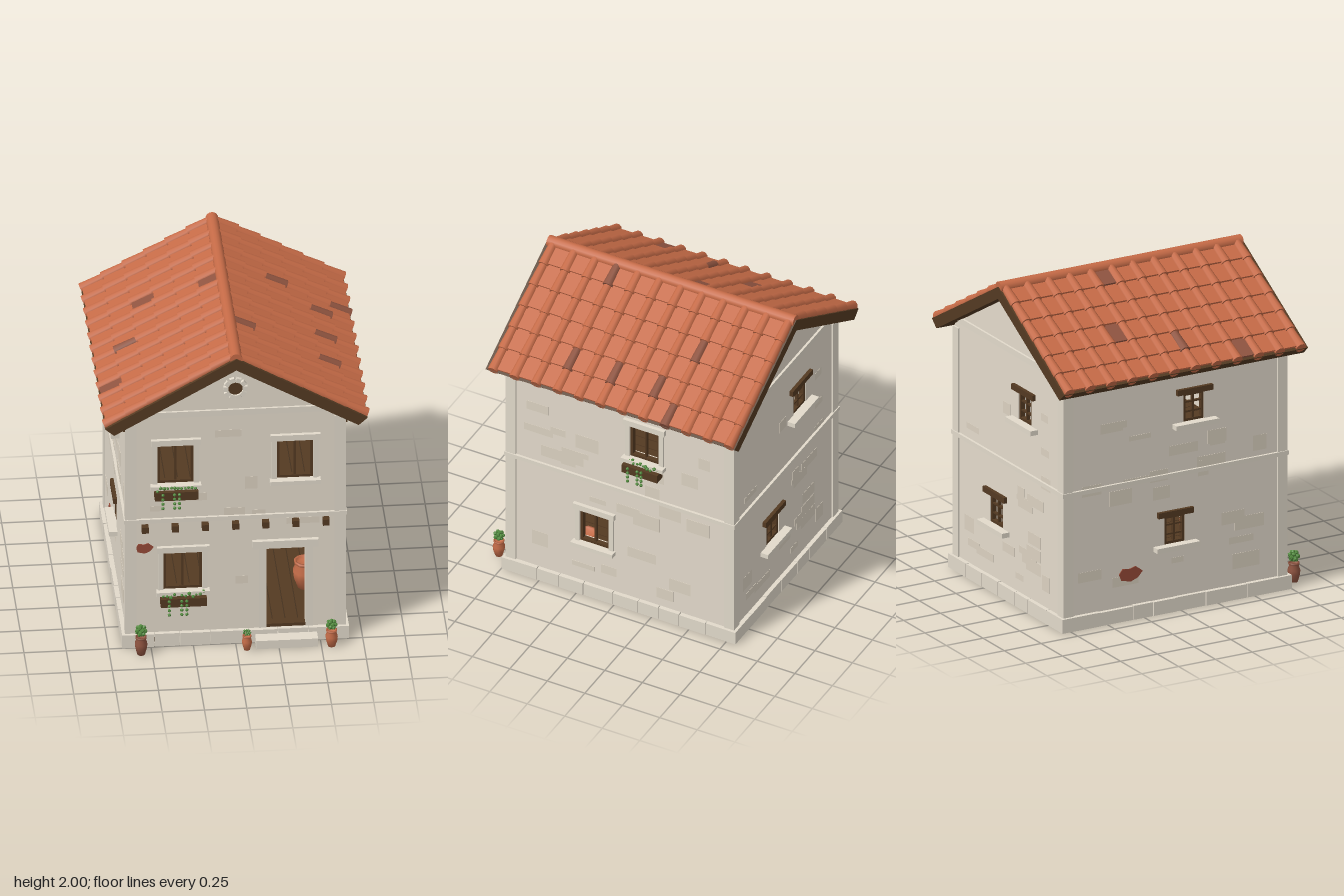
import * as THREE from 'three';

const mat = (name, color) => Object.assign(new THREE.MeshStandardMaterial({ color }), { name });
const M = {
  plaster: mat('plaster', 0xe4dbcc),
  patch: mat('plasterPatch', 0xdcd2c1),
  stone: mat('stone', 0xe2dacb),
  tile: mat('roofTile', 0xc66b47),
  darkTile: mat('weatheredTile', 0x8f5440),
  wood: mat('wood', 0x543a22),
  base: mat('darkBase', 0x40301f),
  leaf: mat('leaf', 0x528a3e),
  clay: mat('clay', 0xc46c48),
  brick: mat('brick', 0x964a37),
};

let seed = 7;
const rnd = () => (seed = (seed * 16807) % 2147483647) / 2147483647;

function add(parent, name, geo, material, x = 0, y = 0, z = 0) {
  const m = new THREE.Mesh(geo, material);
  m.name = name;
  m.position.set(x, y, z);
  parent.add(m);
  return m;
}
const box = (p, name, material, w, h, d, x, y, z) => add(p, name, new THREE.BoxGeometry(w, h, d), material, x, y, z);
// Box given by its x, y and z limits
const span = (p, name, material, x0, x1, y0, y1, z0, z1) =>
  box(p, name, material, x1 - x0, y1 - y0, z1 - z0, (x0 + x1) / 2, (y0 + y1) / 2, (z0 + z1) / 2);
const leafGeo = new THREE.IcosahedronGeometry(1, 0);
function leaf(p, x, y, z, r) {
  const m = add(p, 'leaf', leafGeo, M.leaf, x, y, z);
  m.scale.setScalar(r);
  m.rotation.set(rnd() * 3, rnd() * 3, 0);
}

function pot(p, material, x, y, z, r, h) {
  const pts = [[0, 0], [0.6, 0], [0.95, 0.4], [1, 0.62], [0.75, 0.86], [0.9, 0.92], [0.9, 1], [0.7, 1], [0.65, 0.88], [0, 0.88]]
    .map(([a, b]) => new THREE.Vector2(a * r, b * h));
  add(p, 'pot', new THREE.LatheGeometry(pts, 10), material, x, y, z);
}

// Pot with a rounded bush of leaves
function pottedPlant(p, material, x, r, h, top) {
  const g = new THREE.Group();
  g.name = 'pottedPlant';
  pot(g, material, 0, 0, 0, r, h);
  const half = (top - h) / 2, lr = half * 0.36;
  for (let i = 0; i < 16; i++) {
    const a = i * 2.4, t = (i / 15) * 2 - 1, ring = Math.sqrt(1.05 - t * t) * r * 0.65;
    leaf(g, Math.cos(a) * ring, h + half + t * (half - lr), Math.sin(a) * ring, lr);
  }
  g.position.set(x, 0, 0.825);
  p.add(g);
}

function planter(p, x0, x1, y0, y1) {
  span(p, 'planterBox', M.wood, x0, x1, y0, y1, 0.005, 0.072);
  const w = x1 - x0;
  for (let i = 0; i < 12; i++) leaf(p, x0 + w * (0.06 + 0.08 * i), y1 + 0.005 + rnd() * 0.02, 0.03 + rnd() * 0.035, 0.009 + rnd() * 0.004);
  // trailing vines
  for (const t of [0.18, 0.45, 0.56]) for (let j = 0; j < 4; j++) leaf(p, x0 + w * t, y1 - 0.012 - j * 0.03, 0.078, 0.011);
}

// Wooden frame, bars and stone or timber trim around one opening
function trim(p, o) {
  const { x0, x1, y0, y1, kind } = o, cx = (x0 + x1) / 2, f = 0.016;
  if (kind === 'door') {
    span(p, 'doorLintel', M.stone, x0 - 0.085, x1 + 0.077, y1, y1 + 0.05, -0.02, 0.026);
    for (const [a, b] of [[x0 - 0.045, x0], [x1, x1 + 0.045]]) span(p, 'doorJamb', M.stone, a, b, 0.085, y1, -0.02, 0.006);
    span(p, 'doorSill', M.wood, x0, x1, 0.088, 0.108, -0.055, 0.004);
    return;
  }
  const rustic = kind === 'rustic';
  for (const x of [x0 + f / 2, x1 - f / 2]) box(p, 'windowFrame', M.wood, f, y1 - y0, 0.03, x, (y0 + y1) / 2, -0.02);
  for (const y of [y0 + f / 2, y1 - f / 2]) box(p, 'windowFrame', M.wood, x1 - x0, f, 0.03, cx, y, -0.02);
  box(p, 'mullion', M.wood, 0.013, y1 - y0, 0.02, cx, (y0 + y1) / 2, -0.02);
  if (rustic) {
    for (const t of [1 / 3, 2 / 3]) box(p, 'windowBar', M.wood, x1 - x0, 0.01, 0.018, cx, y0 + (y1 - y0) * t, -0.02);
    span(p, 'timberLintel', M.wood, x0 - 0.05, x1 + 0.05, y1, y1 + 0.035, -0.03, 0.022);
    span(p, 'windowSill', M.stone, x0 - 0.075, x1 + 0.075, y0 - 0.03, y0, -0.03, 0.05);
  } else {
    span(p, 'windowLintel', M.stone, x0 - 0.038, x1 + 0.042, y1, y1 + 0.038, -0.02, 0.024);
    span(p, 'windowSill', M.stone, x0 - 0.042, x1 + 0.042, y0 - 0.026, y0, -0.03, 0.044);
    for (const [a, b] of [[x0 - 0.03, x0], [x1, x1 + 0.03]]) span(p, 'windowJamb', M.stone, a, b, y0, y1, -0.02, 0.01);
  }
  if (o.box) planter(p, x0 - 0.02, x1 + 0.022, o.box, o.box + 0.055);
}

// Exposed brick where plaster has fallen
function brickPatch(p, x, y, w, h) {
  const s = new THREE.Shape([[-1, 0.2], [-0.7, 0.9], [-0.1, 0.75], [0.4, 1], [1, 0.2], [0.6, -0.6], [0, -1], [-0.8, -0.7]]
    .map(([a, b]) => new THREE.Vector2(a * w, b * h)));
  add(p, 'exposedBrick', new THREE.ExtrudeGeometry(s, { depth: 0.006, bevelEnabled: false }), M.brick, x, y, 0);
}

// One wall facing local +z with openings, plinth, belt course and plaster patches
function wall(root, name, rotation, x, z, half, gable, openings) {
  const g = new THREE.Group();
  g.name = name;
  g.rotation.y = rotation;
  g.position.set(x, 0, z);
  root.add(g);
  const body = gable ? half - 0.012 : half - 0.06;
  const s = new THREE.Shape();
  s.moveTo(-body, 0.05).lineTo(body, 0.05).lineTo(body, 1.53);
  if (gable) s.lineTo(0, 1.91);
  s.lineTo(-body, 1.53).closePath();
  for (const { x0, x1, y0, y1 } of openings) {
    const h = new THREE.Path();
    h.moveTo(x0, y0).lineTo(x0, y1).lineTo(x1, y1).lineTo(x1, y0).closePath();
    s.holes.push(h);
  }
  add(g, name + 'Plaster', new THREE.ExtrudeGeometry(s, { depth: 0.06, bevelEnabled: false }), M.plaster, 0, 0, -0.06);
  openings.forEach((o) => trim(g, o));
  span(g, 'beltCourse', M.stone, -half - 0.008, half + 0.008, 0.838, 0.864, -0.01, 0.016);
  if (gable) span(g, 'gableBand', M.stone, -0.585, 0.585, 1.552, 1.59, -0.01, 0.014);
  // plinth blocks
  const end = gable ? half + 0.02 : half - 0.03;
  for (let a = -end; a < end - 0.01;) {
    let b = a + 0.13 + rnd() * 0.1;
    if (b > end - 0.09) b = end;
    span(g, 'plinthBlock', M.stone, a, b - (b < end ? 0.004 : 0), 0, 0.083 + rnd() * 0.004, -0.03, 0.025 + rnd() * 0.004);
    a = b;
  }
  // faint plaster patches, kept clear of openings
  for (let i = 0; i < 26; i++) {
    const w = 0.07 + rnd() * 0.13, h = 0.03 + rnd() * 0.07;
    const px = (rnd() * 2 - 1) * (half - 0.18), py = 0.16 + rnd() * 1.27;
    const hit = openings.some((o) => px + w / 2 > o.x0 - 0.09 && px - w / 2 < o.x1 + 0.09 && py + h / 2 > o.y0 - 0.06 && py - h / 2 < o.y1 + 0.06);
    if (!hit) box(g, 'plasterPatch', M.patch, w, h, 0.002, px, py, i * 0.00005);
  }
  return g;
}

// One roof slope: local +x runs down from the ridge
function roofSlope(root, name, turn, darkRolls, darkPans) {
  const side = new THREE.Group(), g = new THREE.Group();
  side.name = name;
  side.rotation.y = turn;
  side.position.set(0, 1.966, -0.0345);
  g.rotation.z = -Math.atan(0.565);
  side.add(g);
  root.add(side);
  const roll = new THREE.CylinderGeometry(0.033, 0.026, 0.155, 10).rotateZ(-Math.PI / 2);
  const pan = new THREE.BoxGeometry(0.155, 0.012, 0.141);
  for (let k = 0; k < 6; k++) for (let i = 0; i < 12; i++) {
    const z = -0.7865 + 0.143 * i, s = 0.01 + 0.145 * (k + 0.5), key = i + ':' + k;
    add(g, 'coverTile', roll, darkRolls.includes(key) ? M.darkTile : M.tile, s, 0.006, z).rotation.z = 0.03;
    if (i < 11) add(g, 'panTile', pan, darkPans.includes(key) ? M.darkTile : M.tile, s - 0.012, 0.008, z + 0.0715).rotation.z = 0.08;
  }
}

export function createModel() {
  const root = new THREE.Group();
  root.name = 'house';
  const win = (x0, x1, y0, y1, kind, boxY) => ({ x0, x1, y0, y1, kind, box: boxY });

  const front = wall(root, 'frontWall', 0, 0, 0.722, 0.65, true, [
    win(-0.46, -0.245, 1.1, 1.365, 'stone', 1.02), win(0.245, 0.46, 1.1, 1.365, 'stone'),
    win(-0.425, -0.195, 0.375, 0.632, 'stone', 0.29), win(0.185, 0.413, 0.1, 0.635, 'door')]);
  wall(root, 'backWall', Math.PI, 0, -0.782, 0.65, true, [
    win(0.11, 0.26, 1.165, 1.34, 'rustic'), win(-0.225, -0.075, 0.42, 0.595, 'rustic')]);
  wall(root, 'rightSideWall', Math.PI / 2, 0.642, -0.03, 0.76, false, [
    win(0.065, 0.26, 1.125, 1.36, 'stone', 1.045), win(-0.27, -0.075, 0.378, 0.615, 'stone')]);
  const left = wall(root, 'leftSideWall', -Math.PI / 2, -0.642, -0.03, 0.76, false, [
    win(0.06, 0.2, 1.165, 1.34, 'rustic'), win(-0.07, 0.07, 0.42, 0.595, 'rustic')]);
  brickPatch(front, -0.535, 0.662, 0.052, 0.034);
  brickPatch(left, -0.3, 0.28, 0.08, 0.045);

  // corner posts
  for (const x of [-0.6185, 0.6185]) for (const z of [-0.7585, 0.6985]) {
    span(root, 'cornerPost', M.stone, x - 0.0335, x + 0.0335, 0.085, 1.515, z - 0.0335, z + 0.0335);
  }

  // beam ends, round vent and doorstep on the front
  for (let i = -3; i <= 3; i++) box(front, 'beamEnd', M.wood, 0.04, 0.04, 0.06, i * 0.178, 0.805, 0.012);
  add(front, 'ventDisc', new THREE.CylinderGeometry(0.043, 0.043, 0.016, 20).rotateX(Math.PI / 2), M.wood, 0, 1.735, 0.004);
  for (let i = 0; i < 10; i++) {
    const a = (i / 10) * Math.PI * 2;
    box(front, 'ventStone', M.stone, 0.028, 0.03, 0.04, Math.cos(a) * 0.057, 1.735 + Math.sin(a) * 0.057, 0.003).rotation.z = a;
  }
  span(root, 'doorstep', M.stone, 0.115, 0.48, 0, 0.055, 0.72, 0.83);

  // base, plank floors and furniture indoors
  span(root, 'base', M.base, -0.63, 0.63, 0.012, 0.08, -0.77, 0.71);
  span(root, 'upperFloorSlab', M.base, -0.6, 0.6, 0.81, 0.84, -0.74, 0.68);
  for (const y of [0.09, 0.85]) for (let i = 0; i < 16; i++) {
    box(root, 'floorPlank', M.wood, 0.069, 0.02, 1.4, -0.5625 + i * 0.075, y, -0.03);
  }
  span(root, 'tableTop', M.wood, -0.15, 0.23, 0.265, 0.285, -0.35, -0.05);
  for (const x of [-0.12, 0.2]) for (const z of [-0.32, -0.08]) span(root, 'tableLeg', M.wood, x - 0.012, x + 0.012, 0.1, 0.27, z - 0.012, z + 0.012);
  span(root, 'shelf', M.wood, -0.59, -0.5, 0.46, 0.472, -0.15, 0.14);
  pot(root, M.clay, -0.545, 0.472, 0.08, 0.025, 0.05);
  pot(root, M.clay, 0.45, 0.1, 0.3, 0.075, 0.18);

  // roof deck with barge boards
  const deck = new THREE.Shape([[0, 1.97], [-0.775, 1.532], [-0.722, 1.485], [0, 1.895], [0.722, 1.485], [0.775, 1.532]]
    .map(([a, b]) => new THREE.Vector2(a, b)));
  add(root, 'roofDeck', new THREE.ExtrudeGeometry(deck, { depth: 1.66, bevelEnabled: false }), M.wood, 0, 0, -0.86);
  for (const x of [-0.645, 0.645]) for (let i = 0; i < 10; i++) {
    box(root, 'rafterEnd', M.wood, 0.035, 0.05, 0.026, x, 1.49, 0.715 - 0.155 * i + (i ? 0.03 : 0));
  }
  roofSlope(root, 'rightRoofSlope', 0, ['3:2', '3:5', '4:4', '6:4', '8:0', '8:4'], []);
  roofSlope(root, 'leftRoofSlope', Math.PI, ['5:4'], ['7:3', '6:0', '2:5']);
  add(root, 'ridgeCap', new THREE.CylinderGeometry(0.037, 0.037, 1.645, 14).rotateX(Math.PI / 2), M.tile, 0, 1.963, -0.0325);

  // potted plants by the front wall
  pottedPlant(root, M.darkTile, -0.565, 0.038, 0.12, 0.2);
  pottedPlant(root, M.clay, 0.06, 0.03, 0.095, 0.135);
  pottedPlant(root, M.clay, 0.56, 0.037, 0.11, 0.18);
  return root;
}
